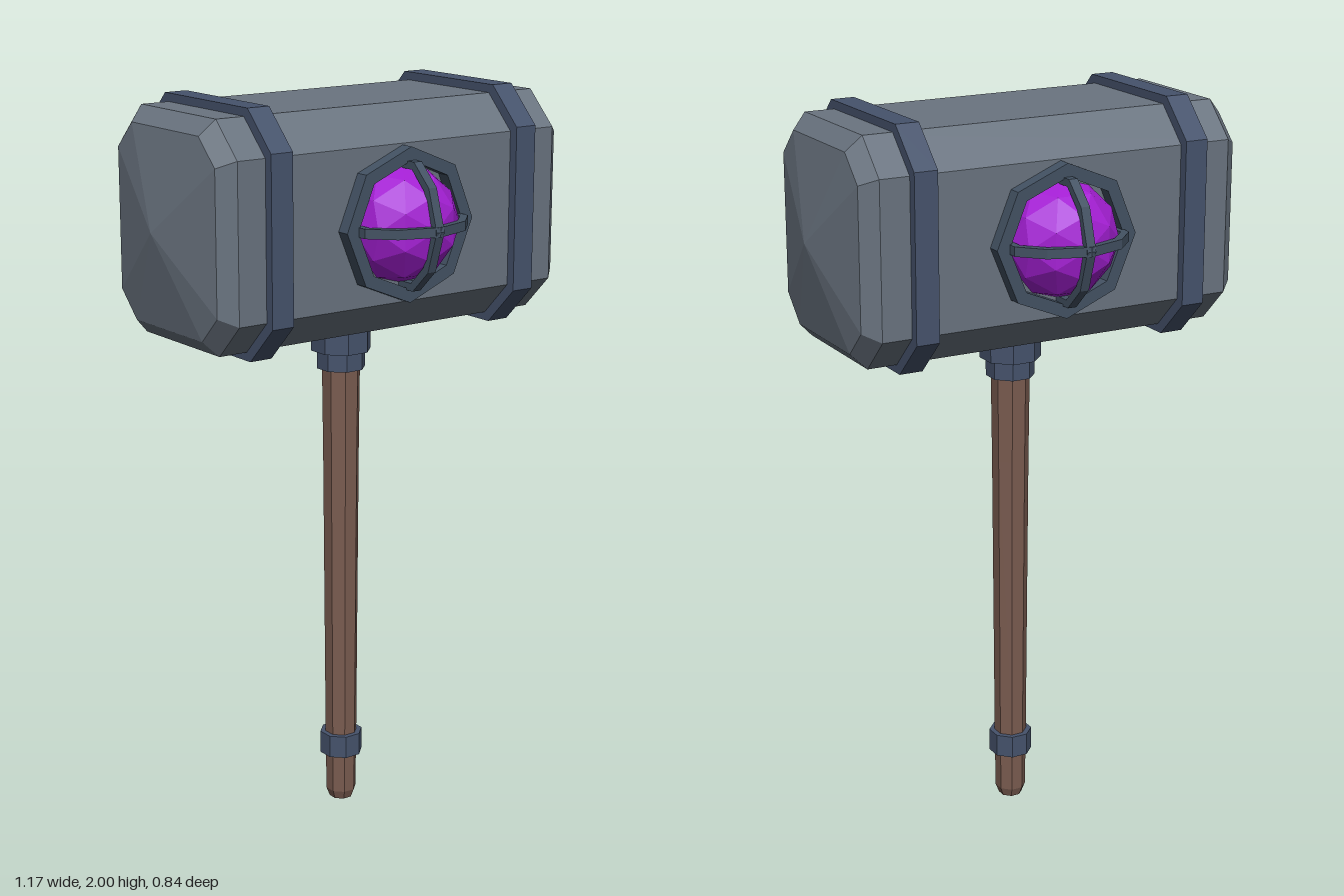
import * as THREE from 'three';

const mat = (name, color) => {
  const m = new THREE.MeshStandardMaterial({ color, flatShading: true });
  m.name = name;
  return m;
};

// Bevelled-rectangle sections [x, halfHeight, halfDepth, bevel] joined along x
function loft(sections) {
  const rings = sections.map(([x, h, d, c]) => [
    [h, -(d - c)], [h, d - c], [h - c, d], [-(h - c), d],
    [-h, d - c], [-h, -(d - c)], [-(h - c), -d], [h - c, -d],
  ].map(([y, z]) => [x, y, z]));
  const pos = [];
  for (let i = 0; i < rings.length - 1; i++) {
    for (let j = 0; j < 8; j++) {
      const k = (j + 1) % 8;
      const a = rings[i][j], b = rings[i][k], c = rings[i + 1][k], d = rings[i + 1][j];
      pos.push(...a, ...b, ...c, ...a, ...c, ...d);
    }
  }
  const g = new THREE.BufferGeometry();
  g.setAttribute('position', new THREE.Float32BufferAttribute(pos, 3));
  g.computeVertexNormals();
  return g;
}

// Eight-sided turned part; radii are measured to the flats when flat is true
function turned(profile, flat = true) {
  const s = flat ? 1 / Math.cos(Math.PI / 8) : 1;
  return new THREE.LatheGeometry(
    profile.map(([r, y]) => new THREE.Vector2(r * s, y)), 8, flat ? Math.PI / 8 : 0);
}

export function createModel() {
  const stone = mat('stone grey', 0x6a7480);
  const iron = mat('blue iron', 0x46536c);
  const cageIron = mat('cage iron', 0x435263);
  const purple = mat('purple crystal', 0xa41fd4);
  const wood = mat('brown wood', 0x7a5c50);

  const root = new THREE.Group();
  root.name = 'hammer';
  const add = (parent, name, geometry, material) => {
    const m = new THREE.Mesh(geometry, material);
    m.name = name;
    parent.add(m);
    return m;
  };

  // Head with bevelled, shallowly pointed ends
  const head = new THREE.Group();
  head.name = 'head';
  head.position.y = 1.685;
  root.add(head);
  add(head, 'headBlock', loft([
    [-0.587, 0, 0, 0], [-0.54, 0.255, 0.225, 0.07], [-0.5, 0.295, 0.263, 0.091],
    [0.5, 0.295, 0.263, 0.091], [0.54, 0.255, 0.225, 0.07], [0.587, 0, 0, 0],
  ]), stone);

  // Iron bands around the head
  for (const s of [-1, 1]) {
    const w = 0.032;
    const band = add(head, s > 0 ? 'leftBand' : 'rightBand', loft([
      [-w, 0, 0, 0], [-w, 0.317, 0.288, 0.1], [w, 0.317, 0.288, 0.1], [w, 0, 0, 0],
    ]), iron);
    band.position.x = s * 0.387;
  }

  // Caged crystals on the front and back
  const socketGeo = turned(
    [[0.165, 0.25], [0.2, 0.25], [0.2, 0.3], [0.165, 0.3], [0.165, 0.25]], false);
  socketGeo.rotateX(Math.PI / 2);
  const gemGeo = new THREE.IcosahedronGeometry(0.153, 1);
  gemGeo.scale(1, 1, 0.92);
  const arc = new THREE.Shape([
    [0.165, 0.265], [0.165, 0.325], [0.107, 0.386], [0, 0.42],
    [-0.107, 0.386], [-0.165, 0.325], [-0.165, 0.265],
    [-0.145, 0.265], [-0.145, 0.317], [-0.096, 0.368], [0, 0.399],
    [0.096, 0.368], [0.145, 0.317], [0.145, 0.265],
  ].map(([x, z]) => new THREE.Vector2(x, z)));
  const barGeo = new THREE.ExtrudeGeometry(arc, { depth: 0.025, bevelEnabled: false });
  barGeo.translate(0, 0, -0.0125);
  barGeo.rotateX(Math.PI / 2);
  for (const side of ['front', 'back']) {
    const setting = new THREE.Group();
    setting.name = side + 'Crystal';
    if (side === 'back') setting.rotation.y = Math.PI;
    head.add(setting);
    add(setting, side + 'Socket', socketGeo, cageIron);
    add(setting, side + 'Gem', gemGeo, purple).position.z = 0.262;
    add(setting, side + 'CageBarAcross', barGeo, cageIron);
    add(setting, side + 'CageBarUpright', barGeo, cageIron).rotation.z = Math.PI / 2;
  }

  // Wooden handle, slightly wider towards the head
  add(root, 'handle', turned(
    [[0, 0], [0.03, 0], [0.039, 0.025], [0.041, 0.2], [0.046, 1.02], [0.05, 1.4]]), wood);

  // Stepped collar below the head and a ring near the foot
  add(root, 'collar', turned(
    [[0.04, 1.255], [0.061, 1.255], [0.061, 1.305], [0.076, 1.305], [0.076, 1.4]]), iron);
  add(root, 'footRing', turned(
    [[0.03, 0.137], [0.055, 0.137], [0.055, 0.2], [0.03, 0.2]]), iron);

  return root;
}
